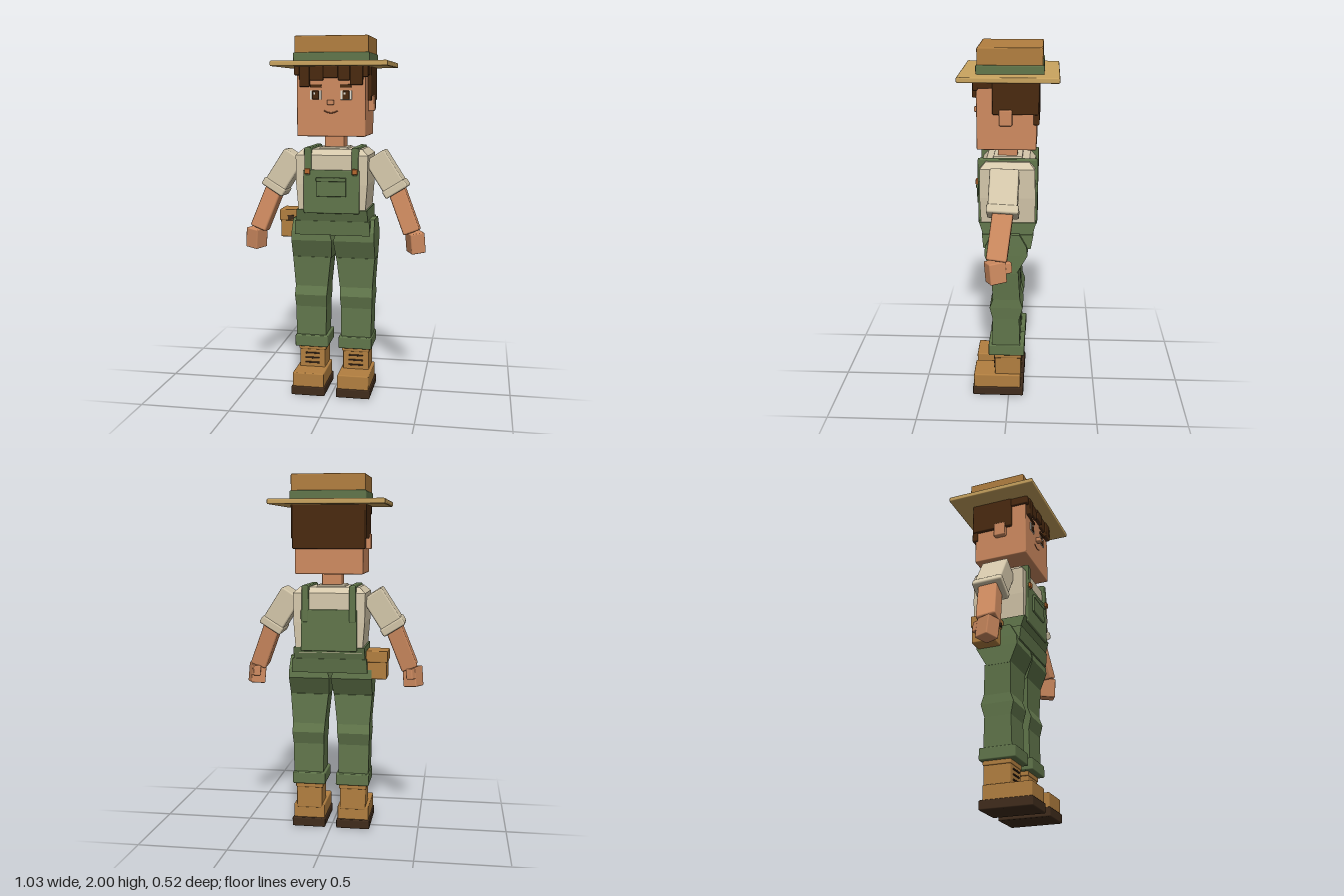
import * as THREE from 'three';
import { RoundedBoxGeometry } from 'three/addons/geometries/RoundedBoxGeometry.js';

const mat = (name, color) => {
  const m = new THREE.MeshStandardMaterial({ color });
  m.name = name;
  return m;
};

export function createModel() {
  const skin = mat('skin', 0xcf8b60), lip = mat('lip', 0x8f5435), hair = mat('hair', 0x4a2a10);
  const white = mat('eye white', 0xe6e0d2), shirt = mat('shirt', 0xd5c8ab), green = mat('overalls', 0x61764b);
  const leather = mat('leather', 0xb27f40), straw = mat('straw', 0xcaa45f), sole = mat('sole', 0x402c1c);
  const copper = mat('copper', 0xb8692f);
  const model = new THREE.Group();

  const add = (name, geo, m, parent = model) => {
    const mesh = new THREE.Mesh(geo, m);
    mesh.name = name;
    parent.add(mesh);
    return mesh;
  };
  // Bevelled box given by its limits on each axis
  const box = (name, m, x0, x1, y0, y1, z0, z1, parent) => {
    const w = Math.abs(x1 - x0), h = y1 - y0, d = z1 - z0;
    const r = Math.min(0.007, Math.min(w, h, d) * 0.25);
    const mesh = add(name, new RoundedBoxGeometry(w, h, d, 1, r), m, parent);
    mesh.position.set((x0 + x1) / 2, (y0 + y1) / 2, (z0 + z1) / 2);
    return mesh;
  };
  // Faceted solid through rectangles [y, x0, x1, zFront, zBack], bottom to top
  const loft = (name, m, sections, s = 1) => {
    const rings = sections.map(([y, a, b, f, k]) => {
      const [l, r] = s > 0 ? [a, b] : [-b, -a];
      return [[l, y, f], [r, y, f], [r, y, k], [l, y, k]];
    });
    const pos = [];
    const quad = (a, b, c, d) => pos.push(...a, ...b, ...c, ...a, ...c, ...d);
    for (let i = 0; i < rings.length - 1; i++) {
      for (let j = 0; j < 4; j++) {
        const n = (j + 1) % 4;
        quad(rings[i][j], rings[i][n], rings[i + 1][n], rings[i + 1][j]);
      }
    }
    quad(...rings[rings.length - 1]);
    quad(...rings[0].slice().reverse());
    const g = new THREE.BufferGeometry();
    g.setAttribute('position', new THREE.Float32BufferAttribute(pos, 3));
    g.computeVertexNormals();
    return add(name, g, m);
  };
  // Box running from one point to another
  const limb = (name, m, from, to, w, d) => {
    const a = new THREE.Vector3(...from), b = new THREE.Vector3(...to);
    const mesh = add(name, new RoundedBoxGeometry(w, a.distanceTo(b), d, 1, 0.01), m);
    mesh.position.copy(a).lerp(b, 0.5);
    mesh.quaternion.setFromUnitVectors(new THREE.Vector3(0, 1, 0), a.sub(b).normalize());
    return mesh;
  };

  // Hat
  box('hatBrim', straw, -0.315, 0.315, 1.837, 1.866, -0.265, 0.26);
  box('hatBand', green, -0.208, 0.208, 1.86, 1.912, -0.185, 0.17);
  box('hatCrown', leather, -0.202, 0.202, 1.865, 2, -0.178, 0.164);

  // Head, ears and face
  box('head', skin, -0.188, 0.188, 1.463, 1.82, -0.147, 0.17);
  box('neck', skin, -0.055, 0.055, 1.36, 1.48, -0.042, 0.066);
  box('nose', skin, -0.018, 0.018, 1.632, 1.66, 0.165, 0.198);
  const smile = new THREE.QuadraticBezierCurve3(
    new THREE.Vector3(-0.038, 1.602, 0.17), new THREE.Vector3(0, 1.578, 0.17), new THREE.Vector3(0.038, 1.602, 0.17));
  add('mouth', new THREE.TubeGeometry(smile, 8, 0.003, 4), lip);
  for (const s of [1, -1]) {
    box('ear', skin, s * 0.18, s * 0.217, 1.597, 1.682, -0.02, 0.05);
    box('eyeWhite', white, s * 0.052, s * 0.114, 1.66, 1.71, 0.168, 0.174);
    box('iris', hair, s * 0.083 - 0.018, s * 0.083 + 0.018, 1.662, 1.708, 0.172, 0.178);
    box('eyeGlint', white, s * 0.083 - 0.012, s * 0.083 - 0.002, 1.688, 1.7, 0.176, 0.18);
    box('eyebrow', hair, s * 0.05, s * 0.112, 1.725, 1.742, 0.168, 0.178);
    box('sideHair', hair, s * 0.18, s * 0.207, 1.655, 1.842, -0.158, 0.085);
  }

  // Hair cap, back and fringe
  box('hairCap', hair, -0.2, 0.2, 1.79, 1.842, -0.16, 0.178);
  box('backHair', hair, -0.2, 0.2, 1.6, 1.842, -0.162, -0.13);
  [[-0.2, -0.17, 1.79], [-0.17, -0.115, 1.728], [-0.115, -0.04, 1.762], [-0.04, 0.04, 1.775],
    [0.04, 0.105, 1.762], [0.105, 0.175, 1.738], [0.175, 0.203, 1.78]].forEach(([a, b, y], i) =>
    box('fringeLock', hair, a, b, y, 1.84, 0.16, i % 2 ? 0.192 : 0.186));

  // Shirt body and collar
  loft('shirtBody', shirt, [[1.03, -0.185, 0.185, 0.15, -0.142], [1.2, -0.198, 0.198, 0.157, -0.145],
    [1.36, -0.2, 0.2, 0.155, -0.14], [1.392, -0.165, 0.165, 0.125, -0.11]]);
  box('collar', shirt, -0.08, 0.08, 1.38, 1.402, -0.07, 0.09);

  // Overalls: waist, bib, back panel, pocket
  loft('waist', green, [[0.915, -0.195, 0.195, 0.132, -0.118], [0.99, -0.2, 0.2, 0.14, -0.13],
    [1.06, -0.197, 0.197, 0.162, -0.15]]);
  loft('waistBand', green, [[0.915, -0.212, 0.212, 0.138, -0.122], [0.995, -0.208, 0.208, 0.146, -0.136]]);
  box('bib', green, -0.156, 0.156, 1.04, 1.28, 0.14, 0.168);
  box('backPanel', green, -0.156, 0.156, 1.04, 1.27, -0.155, -0.13);
  box('bibPocket', green, -0.083, 0.083, 1.135, 1.24, 0.16, 0.18);
  box('pocketHem', green, -0.083, 0.083, 1.218, 1.24, 0.16, 0.185);

  for (const s of [1, -1]) {
    // Shoulder strap
    box('strapFront', green, s * 0.112, s * 0.15, 1.25, 1.402, 0.12, 0.17);
    box('strapTop', green, s * 0.112, s * 0.15, 1.37, 1.403, -0.15, 0.165);
    box('strapBack', green, s * 0.112, s * 0.15, 1.2, 1.402, -0.157, -0.1);
    box('button', copper, s * 0.116, s * 0.146, 1.258, 1.288, 0.165, 0.182);

    // Sleeve, forearm, hand and thumb
    limb('sleeve', shirt, [s * 0.225, 1.355, 0.018], [s * 0.35, 1.16, 0.024], 0.128, 0.155);
    limb('sleeveHem', shirt, [s * 0.33, 1.192, 0.022], [s * 0.355, 1.152, 0.024], 0.14, 0.17);
    limb('forearm', skin, [s * 0.325, 1.22, 0.015], [s * 0.438, 0.93, 0.052], 0.094, 0.11);
    const hand = new THREE.Group();
    hand.name = 'hand';
    hand.position.set(s * 0.455, 0.875, 0.055);
    hand.rotation.set(0.05, s * 0.45, s * 0.08);
    model.add(hand);
    box('palm', skin, -0.042, 0.042, -0.055, 0.06, -0.045, 0.048, hand);
    box('thumb', skin, s * -0.002, s * 0.04, -0.01, 0.05, -0.08, -0.035, hand);

    // Trouser leg with hip and knee folds, and turned-up cuff
    loft('trouserLeg', green, [[0.27, 0.045, 0.213, 0.095, -0.066], [0.49, 0.042, 0.218, 0.09, -0.06],
      [0.56, 0.038, 0.222, 0.106, -0.08], [0.61, 0.035, 0.22, 0.088, -0.064],
      [0.78, 0.016, 0.233, 0.095, -0.055]], s);
    loft('hip', green, [[0.775, 0.014, 0.234, 0.09, -0.045], [0.88, 0.004, 0.234, 0.132, -0.105],
      [0.93, 0.02, 0.233, 0.128, -0.1], [1, 0.03, 0.23, 0.09, -0.06]], s);
    box('cuff', green, s * 0.03, s * 0.22, 0.258, 0.325, -0.09, 0.115);

    // Boot
    box('bootCollar', leather, s * 0.046, s * 0.204, 0.232, 0.258, -0.074, 0.084);
    box('bootShaft', leather, s * 0.052, s * 0.2, 0.11, 0.24, -0.07, 0.08);
    box('bootFoot', leather, s * 0.038, s * 0.217, 0.045, 0.13, -0.068, 0.202);
    box('bootSole', sole, s * 0.032, s * 0.224, 0, 0.052, -0.085, 0.208);
    for (const y of [0.155, 0.183, 0.211]) box('lace', sole, s * 0.085, s * 0.167, y - 0.004, y + 0.004, 0.078, 0.087);
  }

  // Belt pouch on the right hip
  box('pouch', leather, -0.318, -0.2, 0.88, 1.02, -0.098, 0.035);
  box('pouchFlap', leather, -0.323, -0.2, 0.975, 1.04, -0.104, 0.042);
  box('pouchClasp', sole, -0.275, -0.238, 0.982, 1.008, 0.038, 0.048);

  return model;
}
